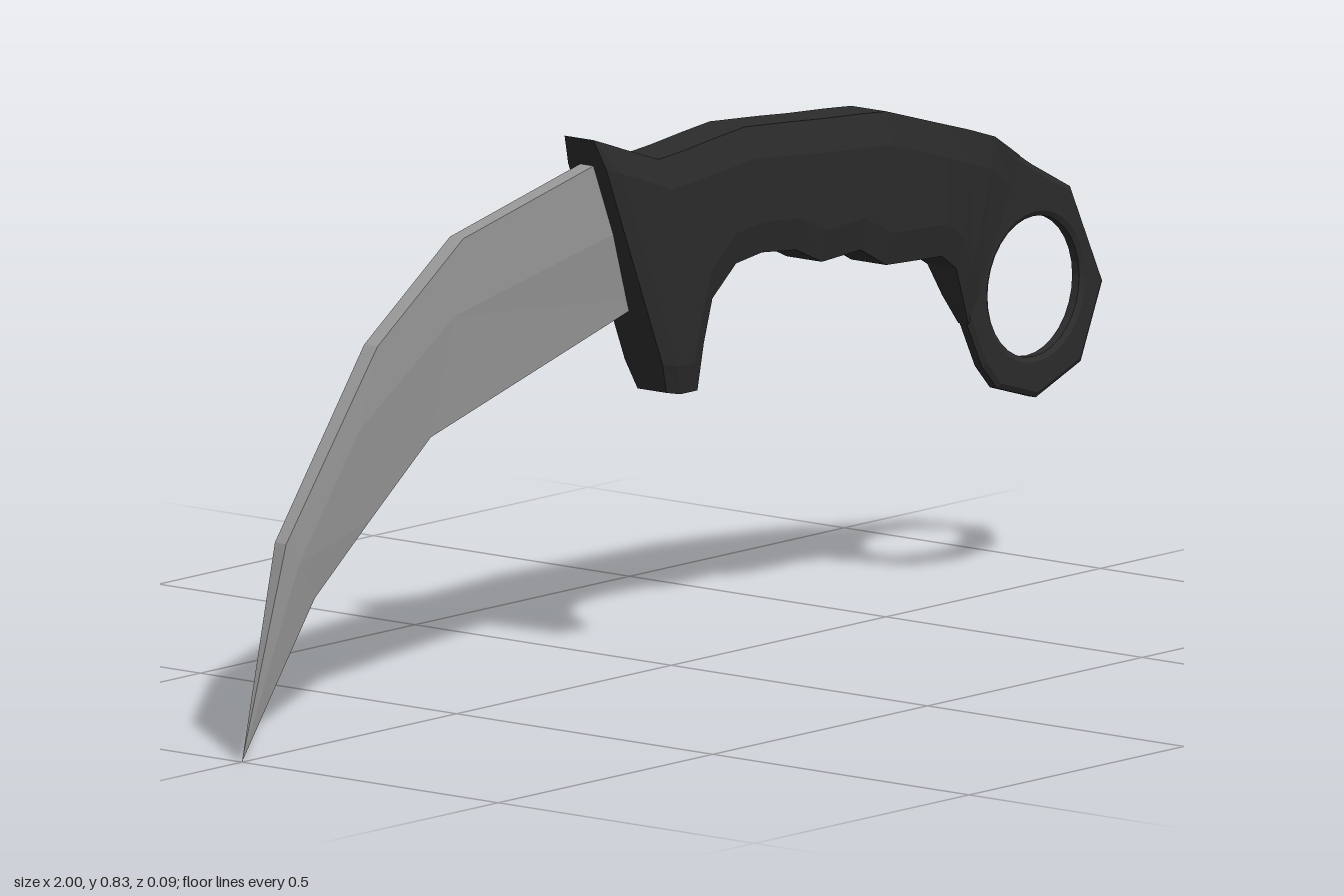
import * as THREE from 'three';

// Skin a row of closed rings, listed from -x to +x, each ring starting at the
// top of the +z side and running down it; both ends are capped.
function loft(rings) {
  const n = rings[0].length, pos = rings.flat(2), idx = [];
  for (let i = 0; i < rings.length - 1; i++) {
    for (let j = 0; j < n; j++) {
      const a = i * n + j, b = i * n + (j + 1) % n;
      idx.push(a, b, b + n, a, b + n, a + n);
    }
  }
  const e = (rings.length - 1) * n;
  for (let k = 1; k < n - 1; k++) idx.push(0, k + 1, k, e, e + k, e + k + 1);
  const g = new THREE.BufferGeometry();
  g.setAttribute('position', new THREE.Float32BufferAttribute(pos, 3));
  g.setIndex(idx);
  const flat = g.toNonIndexed();
  flat.computeVertexNormals();
  return flat;
}

// Chamfered eight-sided section between a top and a bottom point
function gripRing([tx, ty, bx, by, half]) {
  const len = Math.hypot(bx - tx, by - ty), c = 0.05 / len;
  const at = (t, z) => [tx + (bx - tx) * t, ty + (by - ty) * t, z];
  const side = [[0, half * 0.76], [c, half], [1 - c, half], [1, half * 0.76]];
  return [
    ...side.map(([t, z]) => at(t, z)),
    ...side.slice().reverse().map(([t, z]) => at(t, -z)),
  ];
}

// Blade section: flat spine, ridge line and sharp edge
function bladeRing([sx, sy, rx, ry, ex, ey, half]) {
  return [[sx, sy, half], [rx, ry, half], [ex, ey, 0], [rx, ry, -half], [sx, sy, -half]];
}

export function createModel() {
  const model = new THREE.Group();
  model.name = 'curvedKnife';
  const dark = new THREE.MeshStandardMaterial({ color: 0x2c2c2c, flatShading: true });
  const steel = new THREE.MeshStandardMaterial({ color: 0x999999, flatShading: true });
  const add = (name, geometry, material) => {
    const mesh = new THREE.Mesh(geometry, material);
    mesh.name = name;
    model.add(mesh);
  };

  // Blade, from tip to root: spine, ridge, edge, half thickness
  add('blade', loft([
    [-1, 0, -1, 0, -1, 0, 0],
    [-0.91, 0.32, -0.88, 0.285, -0.83, 0.225, 0.011],
    [-0.70, 0.59, -0.74, 0.47, -0.70, 0.325, 0.013],
    [-0.50, 0.725, -0.52, 0.61, -0.56, 0.43, 0.013],
    [-0.17, 0.797, -0.10, 0.69, -0.05, 0.567, 0.013],
  ].map(bladeRing)), steel);

  // Grip with guard hook and finger grooves: top, bottom, half thickness
  add('grip', loft([
    [-0.215, 0.835, -0.045, 0.425, 0.037],
    [-0.19, 0.826, -0.02, 0.42, 0.045],
    [-0.15, 0.812, 0.02, 0.42, 0.045],
    [-0.07, 0.785, 0.035, 0.49, 0.045],
    [-0.01, 0.79, 0.055, 0.555, 0.045],
    [0.06, 0.798, 0.11, 0.6, 0.045],
    [0.13, 0.805, 0.17, 0.608, 0.045],
    [0.24, 0.797, 0.25, 0.6, 0.045],
    [0.31, 0.791, 0.31, 0.573, 0.045],
    [0.40, 0.785, 0.40, 0.578, 0.045],
    [0.46, 0.78, 0.46, 0.546, 0.045],
    [0.59, 0.742, 0.59, 0.54, 0.045],
    [0.66, 0.722, 0.63, 0.515, 0.037],
    [0.73, 0.70, 0.655, 0.465, 0.027],
    [0.80, 0.66, 0.68, 0.42, 0.013],
  ].map(gripRing)), dark);

  // Finger ring with bevelled faces
  const outline = new THREE.Shape([
    [0.66, 0.46], [0.69, 0.40], [0.715, 0.35], [0.75, 0.312], [0.84, 0.285], [0.945, 0.325],
    [0.995, 0.44], [0.92, 0.595], [0.83, 0.642], [0.78, 0.672], [0.72, 0.69],
  ].map(([x, y]) => new THREE.Vector2(x, y)));
  outline.holes.push(new THREE.Path().absarc(0.835, 0.455, 0.107, 0, Math.PI * 2, true));
  const ring = new THREE.ExtrudeGeometry(outline, {
    depth: 0.014, curveSegments: 16, bevelEnabled: true, bevelSegments: 1,
    bevelThickness: 0.005, bevelSize: 0.008, bevelOffset: -0.008,
  });
  ring.translate(0, 0, -0.007);
  add('fingerRing', ring, dark);

  return model;
}
